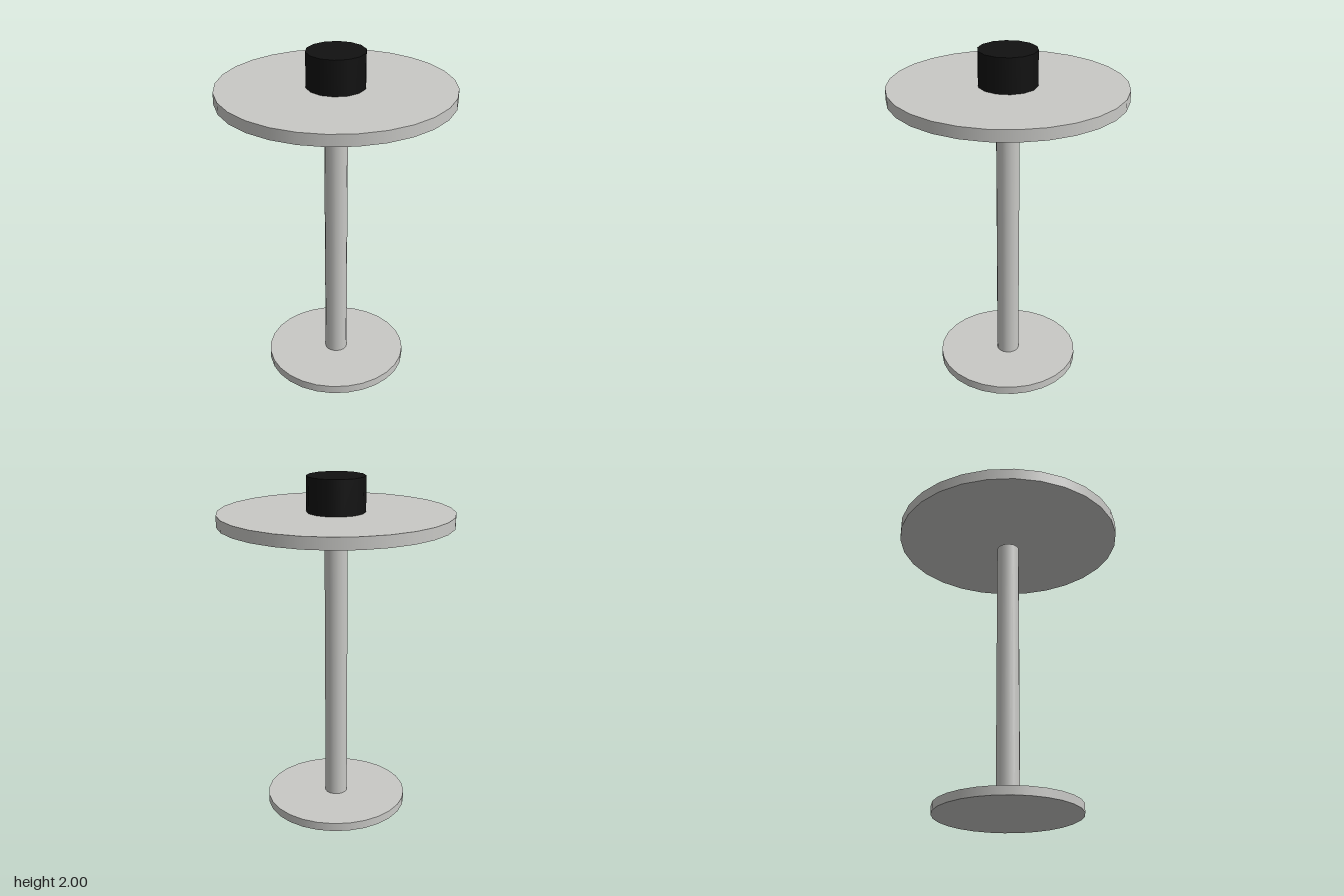
import * as THREE from 'three';

export function createModel() {
  const model = new THREE.Group();
  const grey = new THREE.MeshStandardMaterial({ name: 'pale grey', color: 0xc8c8c5 });
  const black = new THREE.MeshStandardMaterial({ name: 'black', color: 0x111111 });

  // Upright cylinder standing between two heights
  const disc = (name, radius, bottom, top, sides, material) => {
    const geometry = new THREE.CylinderGeometry(radius, radius, top - bottom, sides);
    const mesh = new THREE.Mesh(geometry, material);
    mesh.name = name;
    mesh.position.y = (bottom + top) / 2;
    model.add(mesh);
  };

  disc('base', 0.42, 0, 0.05, 28, grey);
  disc('pole', 0.067, 0.05, 1.681, 16, grey);
  // The top floats just above the pole
  disc('tableTop', 0.672, 1.731, 1.798, 28, grey);
  disc('centrepiece', 0.168, 1.798, 2, 14, black);

  return model;
}
